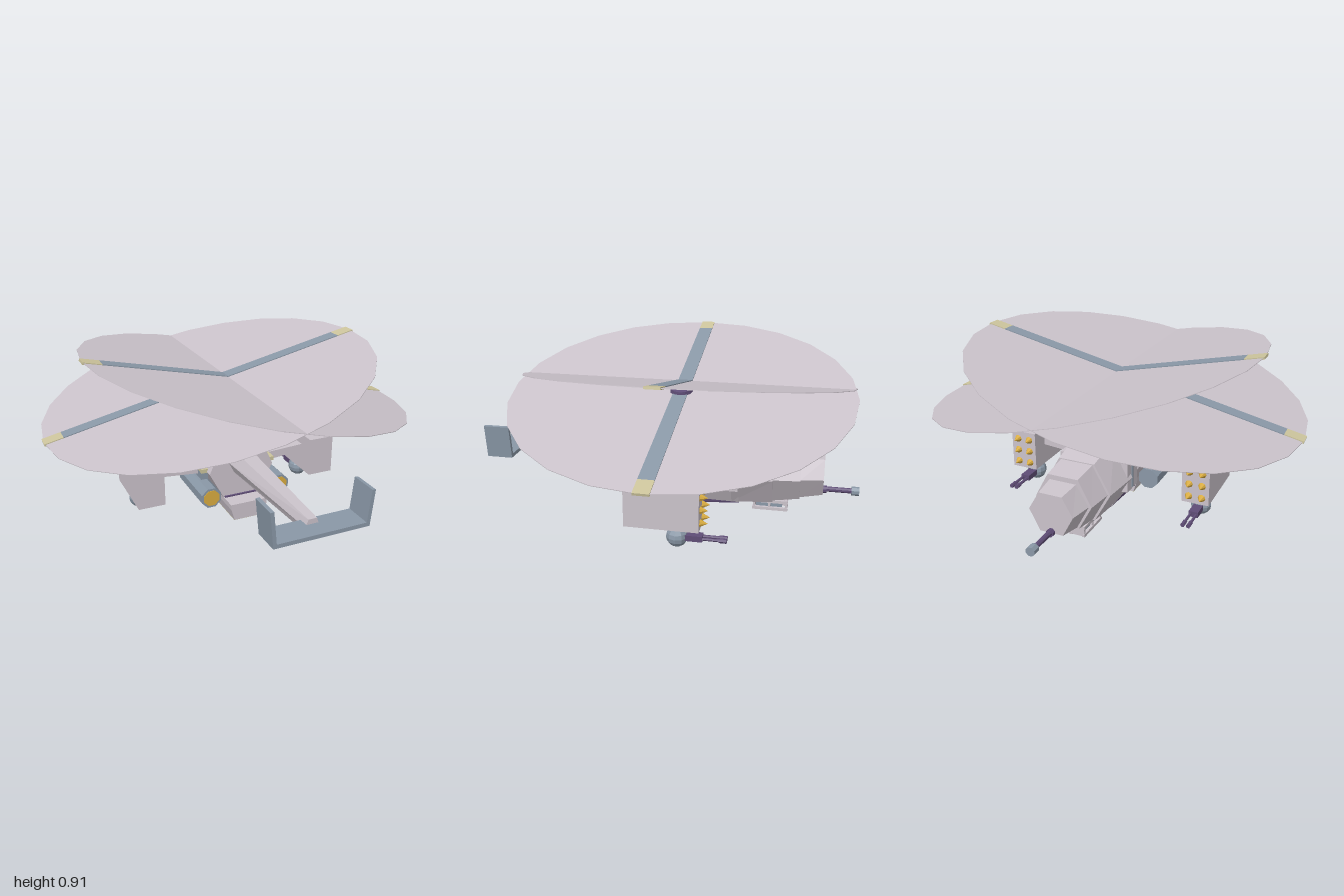
import * as THREE from 'three';

const mat = (name, color, side = THREE.FrontSide) => {
  const m = new THREE.MeshStandardMaterial({ color, side, flatShading: true });
  m.name = name;
  return m;
};

export function createModel() {
  const hull = mat('paleHull', 0xcbc3cb);
  const steel = mat('blueSteel', 0x8a98a7);
  const beige = mat('beige', 0xccc49c);
  const gold = mat('gold', 0xd9ac40);
  const purple = mat('darkPurple', 0x5f4d76);

  const model = new THREE.Group();
  model.name = 'gunship';

  const add = (parent, name, geometry, material, x = 0, y = 0, z = 0) => {
    const m = new THREE.Mesh(geometry, material);
    m.name = name;
    m.position.set(x, y, z);
    parent.add(m);
    return m;
  };
  // Box given by its limits on each axis
  const box = (parent, name, material, x0, x1, y0, y1, z0, z1) =>
    add(parent, name, new THREE.BoxGeometry(x1 - x0, y1 - y0, z1 - z0), material,
      (x0 + x1) / 2, (y0 + y1) / 2, (z0 + z1) / 2);
  // Cylinder lying along z
  const rod = (parent, name, material, r, x, y, z0, z1, sides = 8) => {
    const g = new THREE.CylinderGeometry(r, r, z1 - z0, sides).rotateY(Math.PI / sides).rotateX(Math.PI / 2);
    return add(parent, name, g, material, x, y, (z0 + z1) / 2);
  };
  // Six-sided loft; sections run from +z to -z: [z, top, mid, bottom, halfTop, halfMid, halfBottom]
  const loft = (sections) => {
    const rings = sections.map(([z, t, m, b, wt, wm, wb]) =>
      [[wt, t, z], [-wt, t, z], [-wm, m, z], [-wb, b, z], [wb, b, z], [wm, m, z]]);
    const pos = [];
    const tri = (...p) => p.forEach((v) => pos.push(...v));
    for (let i = 0; i < rings.length - 1; i++) {
      for (let j = 0; j < 6; j++) {
        const k = (j + 1) % 6, p = rings[i], q = rings[i + 1];
        tri(p[j], q[j], q[k]);
        tri(p[j], q[k], p[k]);
      }
    }
    const first = rings[0], last = rings[rings.length - 1];
    for (let j = 1; j < 5; j++) {
      tri(first[0], first[j], first[j + 1]);
      tri(last[0], last[j + 1], last[j]);
    }
    const g = new THREE.BufferGeometry();
    g.setAttribute('position', new THREE.Float32BufferAttribute(pos, 3));
    g.computeVertexNormals();
    return g;
  };

  // Fuselage, stepped nose and tail boom
  add(model, 'fuselage', loft([
    [0.16, 0.43, 0.27, 0.11, 0.11, 0.185, 0.1],
    [-0.37, 0.44, 0.27, 0.1, 0.11, 0.185, 0.1]]), hull);
  add(model, 'cockpit', loft([
    [-0.33, 0.465, 0.27, 0.1, 0.1, 0.2, 0.1],
    [-0.55, 0.42, 0.27, 0.115, 0.095, 0.18, 0.095]]), hull);
  add(model, 'noseCollar', loft([
    [-0.55, 0.415, 0.27, 0.12, 0.085, 0.165, 0.085],
    [-0.69, 0.4, 0.27, 0.14, 0.08, 0.15, 0.08]]), hull);
  add(model, 'noseTip', loft([
    [-0.69, 0.375, 0.27, 0.145, 0.07, 0.135, 0.07],
    [-0.81, 0.365, 0.27, 0.165, 0.06, 0.115, 0.06]]), hull);
  add(model, 'tailBoom', loft([
    [0.91, 0.36, 0.32, 0.285, 0.022, 0.035, 0.022],
    [0.15, 0.385, 0.32, 0.26, 0.045, 0.075, 0.045]]), hull);
  add(model, 'spine', loft([
    [0.19, 0.47, 0.39, 0.385, 0.1, 0.13, 0.13],
    [-0.33, 0.485, 0.39, 0.385, 0.1, 0.13, 0.13]]), hull);
  box(model, 'rotorHousing', steel, -0.13, 0.13, 0.465, 0.59, -0.15, 0.05);

  // Tail plane
  box(model, 'tailPlane', steel, -0.235, 0.235, 0.315, 0.335, 0.86, 1);

  // Belly bay, armour slab and lights
  add(model, 'bellyBay', loft([
    [0.26, 0.12, 0.09, 0.028, 0.105, 0.103, 0.085],
    [-0.05, 0.12, 0.09, 0.028, 0.105, 0.103, 0.085]]), hull);
  box(model, 'bellyPlate', beige, -0.084, 0.084, 0.024, 0.03, -0.045, 0.255);
  add(model, 'bellySlab', loft([
    [0.17, 0.127, 0.11, 0.07, 0.1, 0.1, 0.095],
    [-0.05, 0.127, 0.11, 0.07, 0.1, 0.1, 0.095],
    [-0.37, 0.127, 0.11, 0.095, 0.1, 0.1, 0.095]]), purple);
  for (const z of [0.2, 0.1, -0.015]) {
    add(model, 'bellyLight', new THREE.SphereGeometry(0.02, 8, 6), hull, 0, 0.02, z);
  }

  // Sensor cage under the cockpit
  box(model, 'sensorCore', steel, -0.06, 0.06, 0.068, 0.11, -0.6, -0.46);
  for (const x of [-0.07, 0, 0.07]) {
    for (const y of [0.066, 0.108]) {
      box(model, 'sensorRail', hull, x - 0.008, x + 0.008, y - 0.008, y + 0.008, -0.63, -0.44);
    }
  }
  for (const z of [-0.622, -0.532, -0.45]) {
    box(model, 'sensorFrame', hull, -0.075, 0.075, 0.06, 0.115, z - 0.006, z + 0.006);
  }

  // Nose gun
  rod(model, 'noseGunBarrel', purple, 0.014, 0, 0.175, -0.97, -0.68);
  rod(model, 'noseGunSleeve', purple, 0.02, 0, 0.172, -0.83, -0.68);
  rod(model, 'noseGunMuzzle', steel, 0.024, 0, 0.175, -1, -0.96);

  // Everything mirrored left and right
  const wingShape = new THREE.Shape([[0.15, 0.23], [0.44, 0.255], [0.44, 0.295], [0.15, 0.28]]
    .map(([x, y]) => new THREE.Vector2(x, y)));
  const rotorTilt = Math.atan(0.224);
  for (const s of [1, -1]) {
    const half = new THREE.Group();
    half.name = s > 0 ? 'leftSide' : 'rightSide';
    half.scale.x = s;
    model.add(half);

    const fin = box(half, 'tailFin', steel, 0.232, 0.25, 0.315, 0.495, 0.86, 1);
    fin.rotation.z = -0.1;

    // Side intake and engine
    box(half, 'sideIntake', hull, 0.1, 0.19, 0.2, 0.36, -0.37, -0.25);
    box(half, 'intakeSlit', steel, 0.188, 0.194, 0.21, 0.35, -0.318, -0.302);
    rod(half, 'engine', steel, 0.058, 0.2, 0.165, -0.12, 0.22);
    rod(half, 'engineExhaust', gold, 0.046, 0.2, 0.165, 0.215, 0.223);
    box(half, 'enginePylon', beige, 0.145, 0.215, 0.265, 0.287, -0.08, 0.12);
    box(half, 'engineStrut', steel, 0.17, 0.21, 0.2, 0.268, -0.06, 0.1);

    const wing = new THREE.ExtrudeGeometry(wingShape, { depth: 0.18, bevelEnabled: false });
    add(half, 'stubWing', wing, hull, 0, 0, -0.13);

    // Rocket pod with six warheads
    box(half, 'rocketPod', hull, 0.43, 0.575, 0.14, 0.355, -0.23, 0.144);
    for (const x of [0.468, 0.537]) {
      for (const y of [0.312, 0.245, 0.177]) {
        const cone = new THREE.ConeGeometry(0.021, 0.04, 8).rotateX(-Math.PI / 2);
        add(half, 'warhead', cone, gold, x, y, -0.249);
      }
    }

    // Ball turret with twin guns
    add(half, 'ballTurret', new THREE.SphereGeometry(0.055, 10, 8), steel, 0.5, 0.078, -0.11);
    box(half, 'turretMount', steel, 0.48, 0.52, 0.11, 0.145, -0.13, -0.09);
    box(half, 'turretGunBody', purple, 0.475, 0.525, 0.065, 0.095, -0.24, -0.14);
    for (const x of [0.485, 0.515]) {
      rod(half, 'turretBarrel', purple, 0.008, x, 0.08, -0.35, -0.2, 6);
      rod(half, 'turretMuzzle', purple, 0.012, x, 0.08, -0.36, -0.32, 6);
    }

    // Tilted rotor: disc, blade with pale tips, hub and mast
    const rotor = new THREE.Group();
    rotor.name = 'rotor';
    rotor.position.set(0.11, 0.71, -0.055);
    rotor.rotation.z = -rotorTilt;
    half.add(rotor);
    add(rotor, 'rotorDisc', new THREE.CylinderGeometry(0.9, 0.9, 0.003, 24), hull);
    box(rotor, 'blade', steel, -0.802, 0.802, -0.006, 0.006, -0.038, 0.038);
    for (const e of [-1, 1]) {
      add(rotor, 'bladeTip', new THREE.BoxGeometry(0.1, 0.012, 0.076), beige, e * 0.852, 0, 0);
    }
    const tube = (name, material, r0, r1, y0, y1) =>
      add(rotor, name, new THREE.CylinderGeometry(r1, r0, y1 - y0, 12), material, 0, (y0 + y1) / 2, 0);
    tube('hubCap', purple, 0.06, 0.055, 0, 0.02);
    tube('hubRing', purple, 0.058, 0.058, -0.03, 0);
    tube('hubFlange', steel, 0.035, 0.064, -0.055, -0.03);
    tube('mast', purple, 0.033, 0.033, -0.15, -0.05);
  }

  return model;
}
